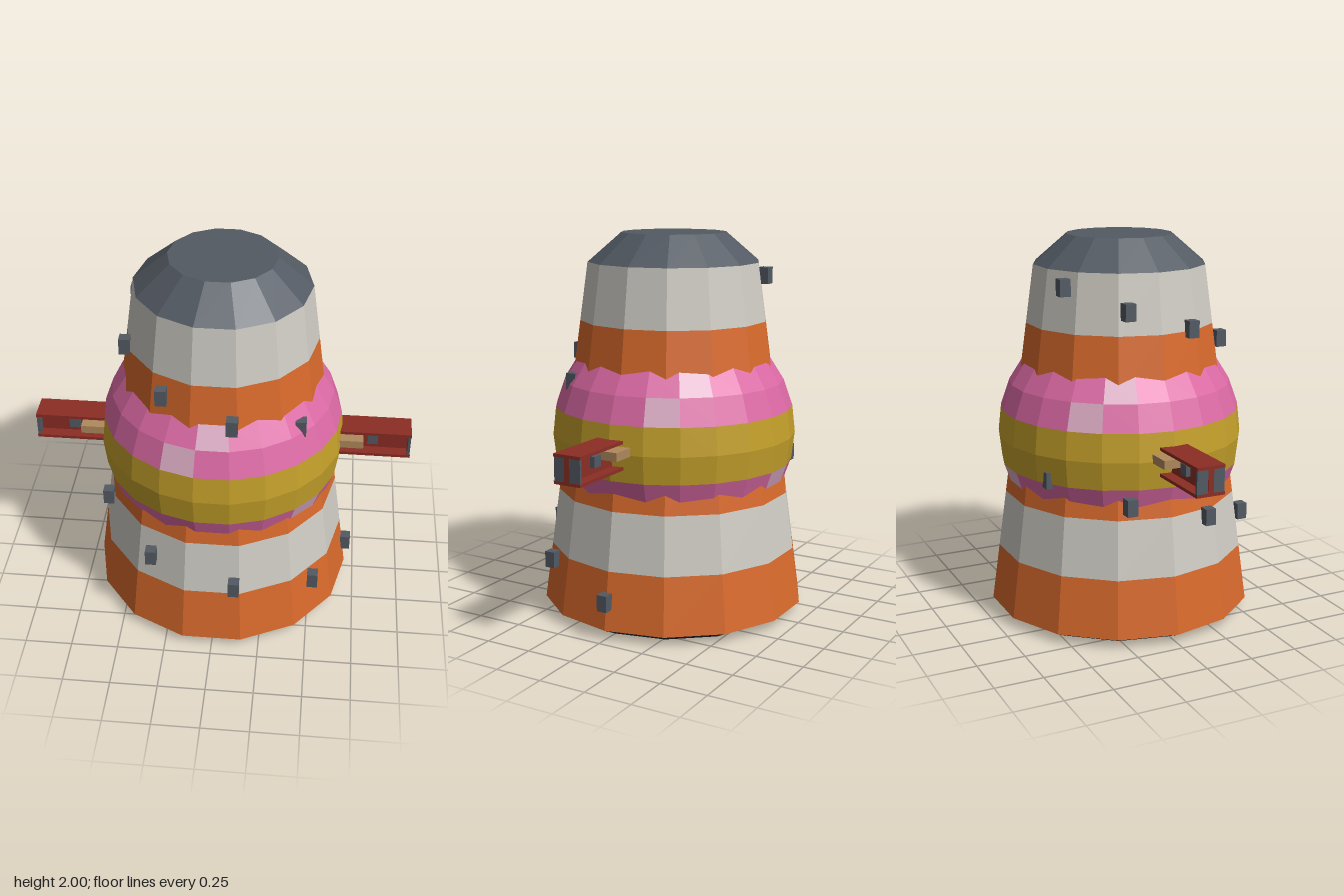
import * as THREE from 'three';

const mat = (name, color) => {
  const m = new THREE.MeshStandardMaterial({ color, flatShading: true });
  m.name = name;
  return m;
};

export function createModel() {
  const orange = mat('orange', 0xd96a2c);
  const white = mat('offWhite', 0xcfccc4);
  const slate = mat('slate', 0x535a63);
  const black = mat('charcoal', 0x2c2f34);
  const pink = mat('pink', 0xdb69a4);
  const palePink = mat('palePink', 0xdbabc4);
  const yellow = mat('mustard', 0xc4a02a);
  const red = mat('darkRed', 0x8c2d24);
  const tan = mat('tan', 0xb08a5c);

  const group = new THREE.Group();
  group.name = 'bandedTower';
  const add = (parent, name, geometry, material, x = 0, y = 0, z = 0) => {
    const mesh = new THREE.Mesh(geometry, material);
    mesh.name = name;
    mesh.position.set(x, y, z);
    parent.add(mesh);
    return mesh;
  };

  // Tapered 14-sided tower, one ring per colour band
  const SIDES = 14;
  const towerRadius = (y) => 0.7 - (0.25 * (y - 0.05)) / 1.8;
  const ring = (name, material, y0, y1, r0, r1, open = true) =>
    add(group, name,
      new THREE.CylinderGeometry(r1, r0, y1 - y0, SIDES, 1, open, Math.PI / 2),
      material, 0, (y0 + y1) / 2, 0);
  for (let i = 0; i < 6; i++) {
    const y0 = 0.05 + 0.3 * i, y1 = y0 + 0.3;
    ring('towerBand', i % 2 ? white : orange, y0, y1, towerRadius(y0), towerRadius(y1));
  }
  ring('base', black, 0, 0.05, 0.6, 0.7, false);
  ring('cap', slate, 1.85, 2, 0.45, 0.275, false);

  // Faceted bulge round the middle: pink, yellow waist and pale patches (row, column)
  const COLS = 22, STEP = Math.PI / 14, FIRST = 3, ROWS = 7;
  const patches = ['4,5', '5,4', '4,13', '5,12', '4,20', '5,19', '8,1', '8,8', '8,16'];
  const bulge = new THREE.SphereGeometry(
    0.645, COLS, ROWS, 0, Math.PI * 2, FIRST * STEP, ROWS * STEP).toNonIndexed();
  bulge.clearGroups();
  for (let j = 0; j < ROWS; j++) {
    for (let i = 0; i < COLS; i++) {
      const row = j + FIRST;
      const index = row === 6 || row === 7 ? 1 : patches.includes(`${row},${i}`) ? 2 : 0;
      bulge.addGroup((j * COLS + i) * 6, 6, index);
    }
  }
  add(group, 'bulge', bulge, [pink, yellow, palePink], 0, 0.955, 0);

  // Spiral of small blocks climbing the tower
  const blockGeometry = new THREE.BoxGeometry(0.056, 0.086, 0.056);
  for (let i = 0; i < 16; i++) {
    const y = 0.2 + 0.105 * i;
    const angle = (i * 40 * Math.PI) / 180;
    const r = towerRadius(y) + 0.017;
    add(group, 'spiralBlock', blockGeometry, slate, r * Math.cos(angle), y, r * Math.sin(angle));
  }

  // Side beams with an I-shaped section, mirrored left and right
  for (const side of [1, -1]) {
    const beam = new THREE.Group();
    beam.name = side > 0 ? 'leftBeam' : 'rightBeam';
    beam.position.y = 0.95;
    group.add(beam);
    const box = (name, material, w, h, d, x, y = 0, z = 0) =>
      add(beam, name, new THREE.BoxGeometry(w, h, d), material, side * x, y, z);
    for (const y of [-0.066, 0.066]) box('flange', red, 0.42, 0.016, 0.15, 0.79, y);
    box('web', red, 0.42, 0.12, 0.03, 0.79);
    for (const z of [-1, 1]) {
      box('endPlate', slate, 0.014, 0.116, 0.058, 0.991, 0, z * 0.044);
      box('webBolt', slate, 0.056, 0.056, 0.03, 0.8, 0.005, z * 0.025);
    }
    box('crossBlock', tan, 0.15, 0.044, 0.23, 0.675, 0.022);
  }
  return group;
}
